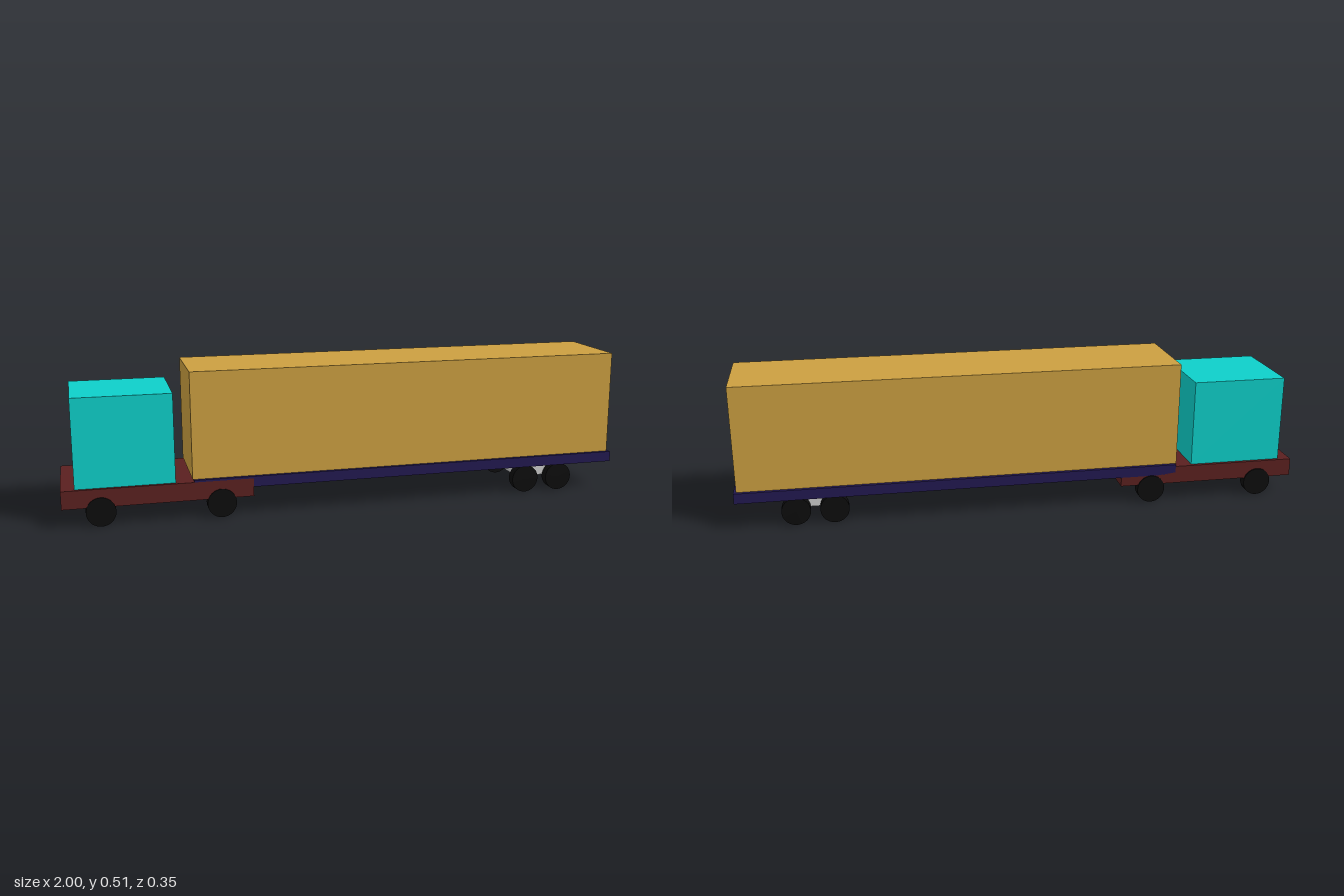
import * as THREE from 'three';

const material = (color) => new THREE.MeshStandardMaterial({ color });

// Box given by its x and y ranges and its half width in z
function block(name, [x0, x1], [y0, y1], halfWidth, mat) {
  const mesh = new THREE.Mesh(new THREE.BoxGeometry(x1 - x0, y1 - y0, halfWidth * 2), mat);
  mesh.position.set((x0 + x1) / 2, (y0 + y1) / 2, 0);
  mesh.name = name;
  return mesh;
}

export function createModel() {
  const truck = new THREE.Group();
  truck.name = 'semiTruck';

  const teal = material(0x0dcfc9);
  const tan = material(0xcb9f40);
  const navy = material(0x221850);
  const maroon = material(0x5a201f);
  const rubber = material(0x0c0c0c);
  const grey = material(0xcccccc);

  // Tractor
  const tractor = new THREE.Group();
  tractor.name = 'tractor';
  tractor.add(
    block('chassis', [-0.999, -0.355], [0.066, 0.129], 0.168, maroon),
    block('cab', [-0.954, -0.62], [0.129, 0.438], 0.156, teal)
  );

  // Trailer
  const trailer = new THREE.Group();
  trailer.name = 'trailer';
  trailer.add(
    block('trailerBed', [-0.558, 0.999], [0.099, 0.136], 0.168, navy),
    block('cargoBox', [-0.563, 0.99], [0.136, 0.507], 0.155, tan),
    block('axleBlock', [0.64, 0.82], [0.053, 0.099], 0.122, grey)
  );

  // Wheels, mirrored left and right
  const wheelGeometry = new THREE.CylinderGeometry(0.05, 0.05, 0.033, 32).rotateX(Math.PI / 2);
  function addAxle(parent, x, z) {
    for (const side of [-1, 1]) {
      const wheel = new THREE.Mesh(wheelGeometry, rubber);
      wheel.name = 'wheel';
      wheel.position.set(x, 0.05, side * z);
      parent.add(wheel);
    }
  }
  for (const x of [-0.871, -0.466]) addAxle(tractor, x, 0.156);
  for (const x of [0.664, 0.796]) addAxle(trailer, x, 0.136);

  // The whole truck stands very slightly turned
  truck.add(tractor, trailer);
  truck.rotation.y = 0.0055;

  const model = new THREE.Group();
  model.add(truck);
  return model;
}
